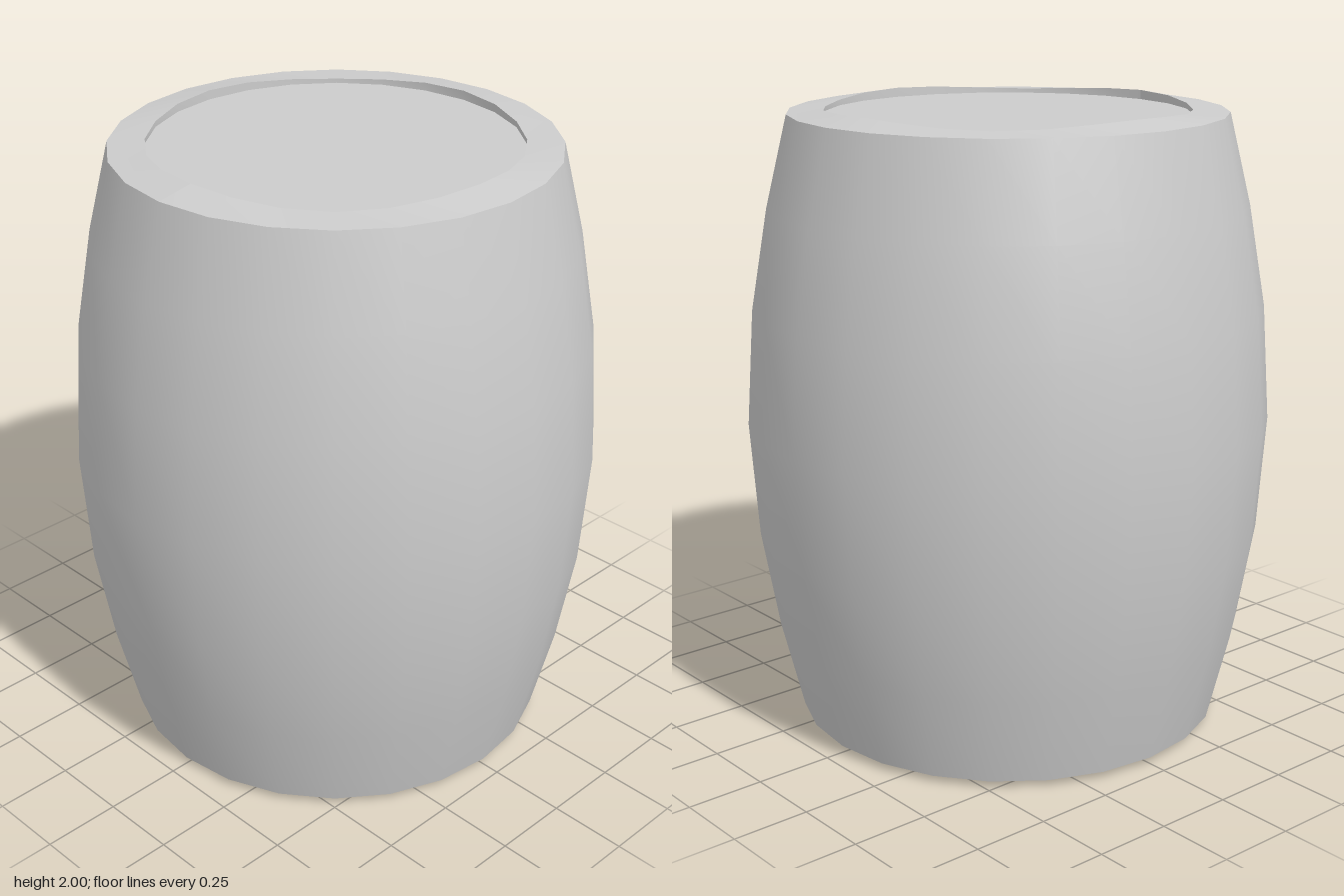
import * as THREE from 'three';

const SIDES = 24;
const RIM_OUTER = 0.69;
const RIM_INNER = 0.575;

export function createModel() {
  const model = new THREE.Group();
  model.name = 'barrel';
  const barrelGrey = new THREE.MeshStandardMaterial({ color: 0xcccccc });
  barrelGrey.name = 'barrelGrey';

  // Revolve a list of [radius, height] pairs
  const lathe = (pairs) =>
    new THREE.LatheGeometry(pairs.map(([r, y]) => new THREE.Vector2(r, y)), SIDES);

  const add = (parent, name, geometry) => {
    const mesh = new THREE.Mesh(geometry, barrelGrey);
    mesh.name = name;
    parent.add(mesh);
  };

  // Lift the inner edge of the rim in four gentle waves
  const wave = (geometry) => {
    const p = geometry.attributes.position;
    for (let i = 0; i < p.count; i++) {
      const x = p.getX(i), z = p.getZ(i);
      if (Math.hypot(x, z) < RIM_INNER + 0.01 && p.getY(i) > 1.98) {
        p.setY(i, 1.992 + 0.008 * Math.cos(4 * Math.atan2(x, z)));
      }
    }
    geometry.computeVertexNormals();
    return geometry;
  };

  // Bulging staves
  add(model, 'body', lathe([
    [RIM_OUTER, 0.022], [0.76, 0.31], [0.815, 0.63], [0.84, 1],
    [0.815, 1.37], [0.76, 1.69], [RIM_OUTER, 1.978],
  ]));

  // Rim, shallow recess wall and lid, repeated upside down at the bottom
  for (const end of ['top', 'bottom']) {
    const cap = new THREE.Group();
    cap.name = end + 'End';
    add(cap, end + 'Rim', wave(lathe([[RIM_OUTER, 1.978], [RIM_INNER, 1.99]])));
    add(cap, end + 'RecessWall', wave(lathe([[RIM_INNER, 1.99], [RIM_INNER, 1.97]])));
    const lid = new THREE.CircleGeometry(RIM_INNER, SIDES);
    lid.rotateX(-Math.PI / 2);
    lid.translate(0, 1.97, 0);
    add(cap, end + 'Lid', lid);
    if (end === 'bottom') {
      cap.rotation.x = Math.PI;
      cap.position.y = 2;
    }
    model.add(cap);
  }
  return model;
}
